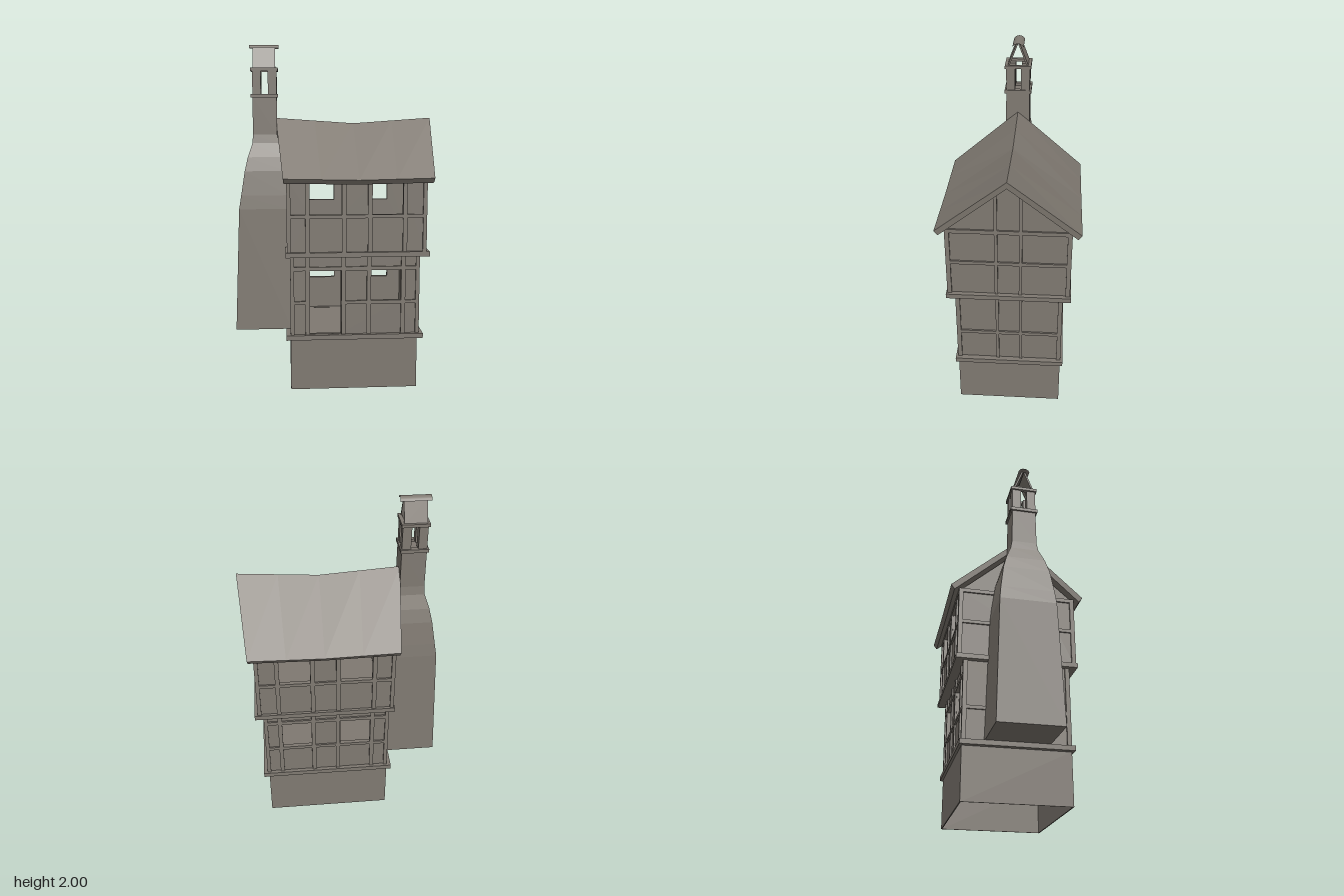
import * as THREE from 'three';

const stone = new THREE.MeshStandardMaterial({ color: 0x7f7971, side: THREE.DoubleSide });
stone.name = 'warm grey';

function add(parent, name, geometry) {
  const mesh = new THREE.Mesh(geometry, stone);
  mesh.name = name;
  parent.add(mesh);
  return mesh;
}

// Box given by its limits on each axis
function box(parent, name, x0, x1, y0, y1, z0, z1) {
  const g = new THREE.BoxGeometry(x1 - x0, y1 - y0, z1 - z0);
  g.translate((x0 + x1) / 2, (y0 + y1) / 2, (z0 + z1) / 2);
  return add(parent, name, g);
}

// Four boxes forming a rectangular ring of thickness t
function ring(parent, name, x0, x1, y0, y1, z, t) {
  for (const s of [-1, 1]) {
    box(parent, name, x0, x1, y0, y1, Math.min(s * z, s * (z - t)), Math.max(s * z, s * (z - t)));
  }
  box(parent, name, x0, x0 + t, y0, y1, -z + t, z - t);
  box(parent, name, x1 - t, x1, y0, y1, -z + t, z - t);
}

// Flat-faced skin over a row of equal cross-sections, closed by quads at both ends
function loft(sections, caps) {
  const pos = [];
  const quad = (a, b, c, d) => [a, b, d, b, c, d].forEach((p) => pos.push(...p));
  const n = sections[0].length;
  for (let s = 0; s < sections.length - 1; s++) {
    for (let i = 0; i < n; i++) {
      const j = (i + 1) % n;
      quad(sections[s][i], sections[s][j], sections[s + 1][j], sections[s + 1][i]);
    }
  }
  const first = sections[0], last = sections[sections.length - 1];
  for (const [a, b, c, d] of caps) {
    quad(last[a], last[b], last[c], last[d]);
    quad(first[d], first[c], first[b], first[a]);
  }
  const g = new THREE.BufferGeometry();
  g.setAttribute('position', new THREE.Float32BufferAttribute(pos, 3));
  g.computeVertexNormals();
  return g;
}

// Long wall with rectangular openings [x0, x1, y0, y1]
function longWall(parent, name, x0, x1, y0, y1, z, openings) {
  const rect = (P, a, b, c, d) => new P([[a, c], [b, c], [b, d], [a, d]].map((p) => new THREE.Vector2(...p)));
  const shape = rect(THREE.Shape, x0, x1, y0, y1);
  openings.forEach((o) => shape.holes.push(rect(THREE.Path, ...o)));
  const g = new THREE.ExtrudeGeometry(shape, { depth: 0.015, bevelEnabled: false });
  g.translate(0, 0, z > 0 ? z - 0.015 : z);
  return add(parent, name, g);
}

const WINDOWS = [[-0.155, 0.025], [0.2, 0.375]];
const POSTS = [-0.1675, 0.04, 0.1875, 0.3875];

// One storey: walls, posts and rails; limits are the outer faces of the timber
function storey(name, { x0, x1, z, y0, y1, sill, head, door, gable }) {
  const g = new THREE.Group();
  g.name = name;
  const d = 0.01, w = 0.0125;
  const windows = WINDOWS.map(([a, b]) => [a, b, sill, head]);
  const front = door ? [[-0.155, 0.025, y0 + 0.004, head], windows[1]] : windows;
  longWall(g, 'frontWall', x0 + d, x1 - d, y0, y1, z - d, front);
  longWall(g, 'backWall', x0 + d, x1 - d, y0, y1, -z + d, windows);

  // Timber on front and back
  for (const s of [-1, 1]) {
    const strip = (n, a, b, c, e) =>
      box(g, n, a, b, c, e, s > 0 ? z - 0.022 : -z, s > 0 ? z : -z + 0.022);
    POSTS.forEach((x) => strip('wallPost', x - w, x + w, y0, y1));
    strip('headRail', x0, x1, head, head + 0.022);
    if (door && s > 0) {
      strip('sillRail', x0, -0.155, sill - 0.02, sill);
      strip('sillRail', 0.025, x1, sill - 0.02, sill);
    } else strip('sillRail', x0, x1, sill - 0.02, sill);
  }

  // End walls, with a gable where needed, and their timber
  const hz = z - d;
  const outline = [[-hz, y0], [hz, y0], [hz, y1]];
  if (gable) outline.push([0, gable]);
  outline.push([-hz, y1]);
  for (const s of [-1, 1]) {
    const shape = new THREE.Shape(outline.map((p) => new THREE.Vector2(...p)));
    const wall = new THREE.ExtrudeGeometry(shape, { depth: 0.015, bevelEnabled: false });
    wall.rotateY(Math.PI / 2);
    wall.translate(s > 0 ? x1 - d - 0.015 : x0 + d, 0, 0);
    add(g, 'endWall', wall);
    const a = s > 0 ? x1 - 0.022 : x0, b = s > 0 ? x1 : x0 + 0.022;
    for (const p of [-0.0675, 0.0675]) {
      box(g, 'endPost', a, b, y0, gable ? gable - 0.065 : y1, p - 0.009, p + 0.009);
    }
    box(g, 'endRail', a, b, sill - 0.02, sill, -z, z);
    if (gable) box(g, 'tieBeam', a, b, y1 - 0.015, y1 + 0.008, -z, z);
    for (const c of [-1, 1]) {
      const e = c * (z - 0.0125);
      box(g, 'cornerPost', a, b, y0, y1, e - w, e + w);
    }
  }
  return g;
}

// Sagging pitched roof with ends that lean out towards the ridge
function roof() {
  const profile = [[0, 1.575], [0.395, 1.25], [0.375, 1.222], [0, 1.535], [-0.375, 1.222], [-0.395, 1.25]];
  const sections = [-1, -0.5, 0, 0.5, 1].map((t) =>
    profile.map(([z, y]) => {
      const h = (y - 1.22) / 0.355;
      const sag = (1 - Math.abs(t)) * (0.007 + 0.025 * h);
      return [0.12 + t * (0.42 + 0.043 * h), y - sag, z];
    }));
  return loft(sections, [[0, 1, 2, 3], [0, 3, 4, 5]]);
}

function chimney() {
  const g = new THREE.Group();
  g.name = 'chimney';
  // Tapering stack: height, outer x, inner x, half depth
  const levels = [
    [0.33, -0.588, -0.26, 0.182], [1.05, -0.56, -0.27, 0.16], [1.13, -0.547, -0.275, 0.152],
    [1.27, -0.525, -0.285, 0.133], [1.35, -0.507, -0.3, 0.112], [1.43, -0.48, -0.325, 0.082],
    [1.48, -0.476, -0.335, 0.073], [1.7, -0.476, -0.335, 0.07],
  ];
  add(g, 'chimneyStack', loft(
    levels.map(([y, a, b, z]) => [[b, y, z], [b, y, -z], [a, y, -z], [a, y, z]]), [[0, 1, 2, 3]]));
  ring(g, 'lowerCollar', -0.486, -0.328, 1.695, 1.715, 0.08, 0.03);
  ring(g, 'upperCollar', -0.486, -0.328, 1.847, 1.865, 0.078, 0.022);
  // Corner piers of the open flue
  for (const [a, b] of [[-0.476, -0.427], [-0.386, -0.335]]) {
    for (const s of [-1, 1]) {
      box(g, 'fluePier', a, b, 1.71, 1.85, s > 0 ? 0.018 : -0.07, s > 0 ? 0.07 : -0.018);
    }
  }
  // Leaning slabs and curved ridge tile
  for (const s of [-1, 1]) {
    const slab = add(g, 'cowlSlab', new THREE.BoxGeometry(0.13, 0.138, 0.01));
    slab.position.set(-0.408, 1.925, s * 0.032);
    slab.rotation.x = -s * 0.37;
  }
  const tile = new THREE.CylinderGeometry(0.037, 0.037, 0.172, 8, 1, true, Math.PI / 2 - 1.1, 2.2);
  tile.rotateZ(Math.PI / 2);
  tile.translate(-0.408, 1.963, 0);
  add(g, 'cowlTile', tile);
  return g;
}

export function createModel() {
  const model = new THREE.Group();
  model.name = 'timberHouse';

  // Hollow plinth and the beams between storeys
  ring(model, 'plinthWall', -0.267, 0.472, 0, 0.3, 0.305, 0.006);
  ring(model, 'groundBeam', -0.292, 0.505, 0.302, 0.33, 0.32, 0.06);
  box(model, 'groundFloor', -0.25, 0.46, 0.318, 0.328, -0.29, 0.29);
  ring(model, 'jettyBeam', -0.292, 0.53, 0.797, 0.825, 0.352, 0.07);
  box(model, 'upperFloor', -0.25, 0.48, 0.812, 0.822, -0.3, 0.3);

  model.add(storey('groundStorey', {
    x0: -0.267, x1: 0.482, z: 0.307, y0: 0.33, y1: 0.8, sill: 0.53, head: 0.71, door: true,
  }));
  model.add(storey('upperStorey', {
    x0: -0.285, x1: 0.512, z: 0.345, y0: 0.825, y1: 1.235, sill: 1.04, head: 1.22, gable: 1.53,
  }));

  add(model, 'roof', roof());
  model.add(chimney());
  return model;
}
